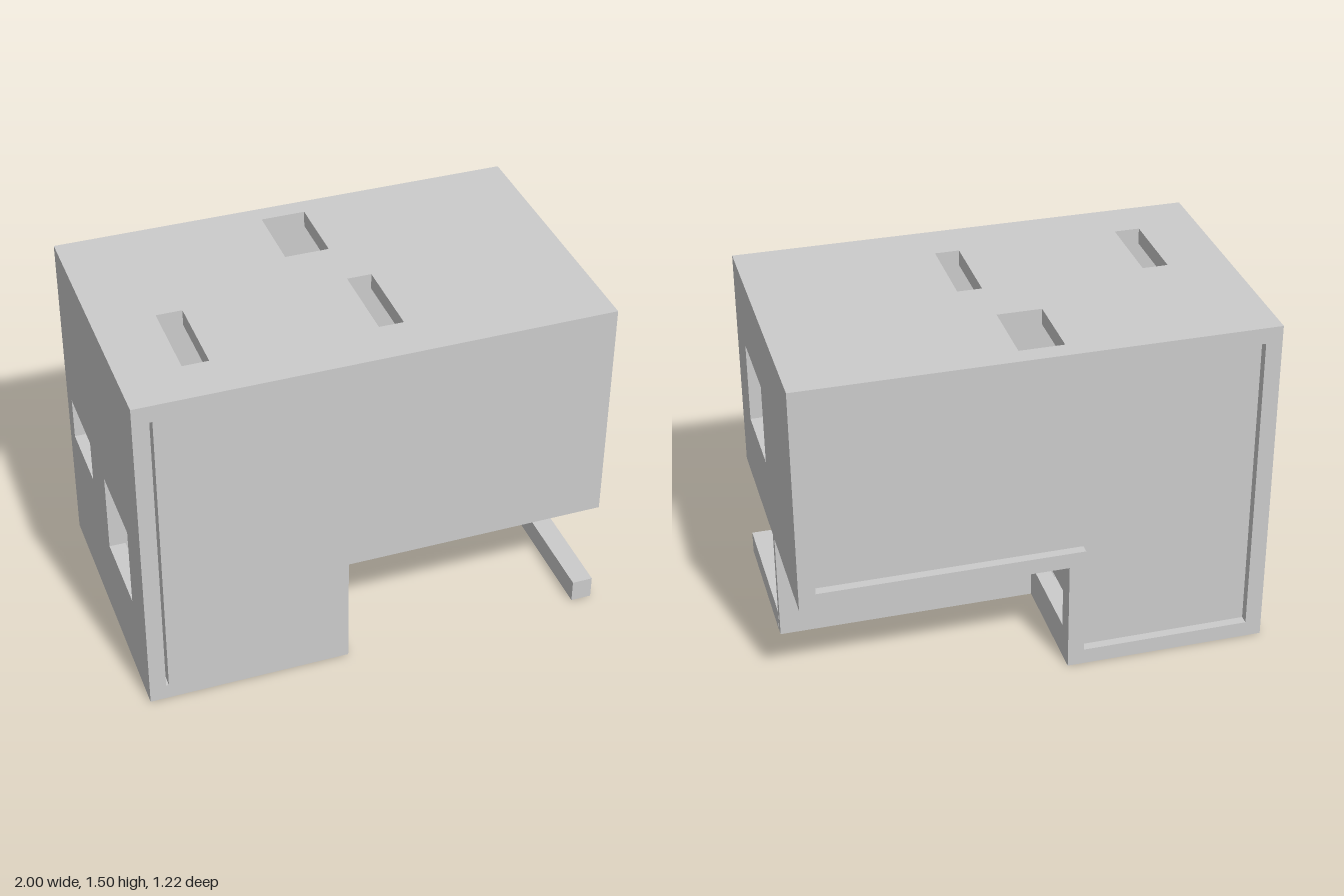
import * as THREE from 'three';

const material = new THREE.MeshStandardMaterial({ color: 0xcccccc });

// Rectangle corners for outlines and openings
const rect = (u0, u1, v0, v1) => [[u0, v0], [u1, v0], [u1, v1], [u0, v1]];
const points = (list) => list.map(([u, v]) => new THREE.Vector2(u, v));

// Plate with openings, perpendicular to an axis, spanning low..high along it.
// Outline coordinates: axis x -> (z, y), axis y -> (x, z), axis z -> (x, y)
function plate(name, axis, low, high, outline, openings = []) {
  const shape = new THREE.Shape(points(outline));
  shape.holes = openings.map((o) => new THREE.Path(points(o)));
  const geometry = new THREE.ExtrudeGeometry(shape, { depth: high - low, bevelEnabled: false });
  const X = new THREE.Vector3(1, 0, 0);
  const Y = new THREE.Vector3(0, 1, 0);
  const Z = new THREE.Vector3(0, 0, 1);
  const m = new THREE.Matrix4();
  if (axis === 'x') m.makeBasis(Z, Y, X.clone().negate()).setPosition(high, 0, 0);
  if (axis === 'y') m.makeBasis(X, Z, Y.clone().negate()).setPosition(0, high, 0);
  if (axis === 'z') m.setPosition(0, 0, low);
  geometry.applyMatrix4(m);
  const mesh = new THREE.Mesh(geometry, material);
  mesh.name = name;
  return mesh;
}

export function createModel() {
  const group = new THREE.Group();
  group.name = 'house';

  const D = 0.61;          // half depth
  const IN = 0.53;         // inner face of the front and back walls
  const T = 0.07;          // wall thickness
  const STEP = -0.13;      // where the overhang begins
  const ROOF = 1.5 - T;

  // L-shaped facade outline, shrunk by an inset
  const facade = (i, top) => [
    [-1 + i, i], [STEP - i, i], [STEP - i, 0.5 + i], [1 - i, 0.5 + i], [1 - i, top], [-1 + i, top],
  ];

  // Front wall with a narrow vertical slit
  group.add(plate('frontWall', 'z', IN, D, facade(0, ROOF), [rect(-0.93, -0.918, 0.07, 1.425)]));

  // Back frame with a recessed panel
  group.add(plate('backFrame', 'z', -D, -0.57, facade(0, 1.5), [facade(T, ROOF)]));
  group.add(plate('backPanel', 'z', -0.57, -IN, facade(0, ROOF)));

  // Central partition reaching down to the ground below the overhang
  group.add(plate('partition', 'z', -0.06, -0.025, rect(-0.999, 0.999, 0, ROOF)));

  // Roof with three skylights
  group.add(plate('roof', 'y', ROOF, 1.5, rect(-1, 1, -0.57, D), [
    rect(-0.74, -0.63, 0.03, 0.4),
    rect(0.065, 0.17, 0.03, 0.4),
    rect(-0.12, 0.07, -0.525, -0.21),
  ]));

  // Ground floor with a hatch
  group.add(plate('groundFloor', 'y', 0, T, rect(-1, STEP, -IN, IN), [rect(-0.73, -0.39, 0.03, 0.39)]));

  // Overhang floor: front opening and two back openings split by a crossbar
  group.add(plate('overhangFloor', 'y', 0.5, 0.5 + T, rect(STEP, 1, -IN, IN), [
    rect(0.13, 0.87, 0.03, 0.525),
    rect(-0.125, 0.36, -0.525, -0.06),
    rect(0.43, 0.93, -0.525, -0.06),
  ]));

  // Outer side walls with windows
  group.add(plate('rightWall', 'x', -1, -1 + T, rect(-IN, IN, T, ROOF), [
    rect(0.03, 0.4, 0.38, 0.745),
    rect(-0.525, -0.2, 0.57, 0.765),
  ]));
  group.add(plate('leftWall', 'x', 1 - T, 1, rect(-IN, IN, 0.5 + T, ROOF), [rect(0.03, 0.4, 0.82, 1.18)]));

  // Lower side wall under the overhang, with one window on each side of the partition
  group.add(plate('lowerSideWall', 'x', STEP - T, STEP, rect(-IN, IN, T, 0.5 + T), [
    rect(0.03, 0.525, 0.14, 0.33),
    rect(-0.525, -0.06, 0.155, 0.33),
  ]));

  // Low kerb along the open side
  group.add(plate('kerb', 'x', 0.91, 1, rect(-0.025, D, 0, 0.1)));

  return group;
}
